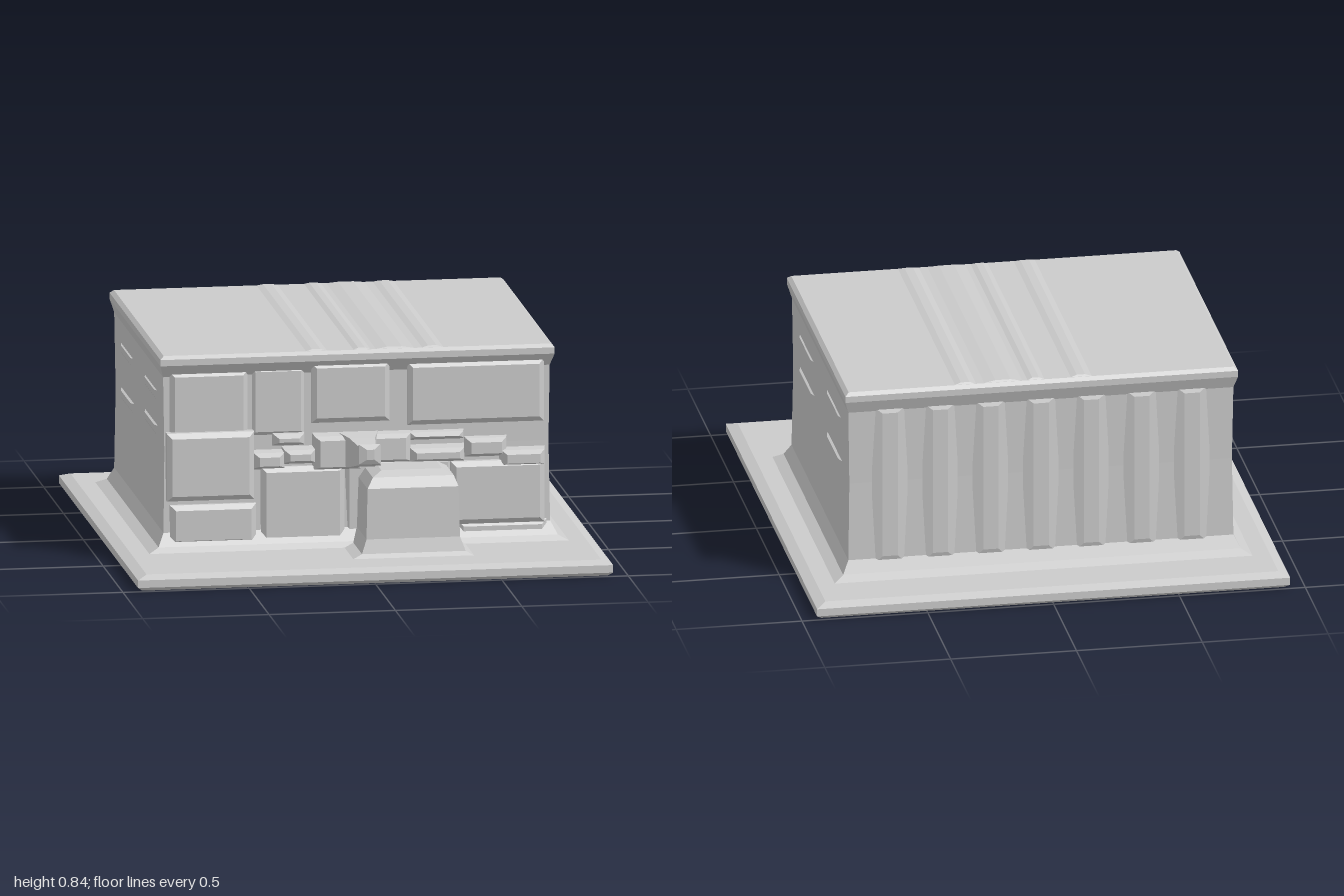
import * as THREE from 'three';

const material = new THREE.MeshStandardMaterial({ color: 0xcccccc, flatShading: true });

// Closed loft through horizontal rectangles [x0, x1, z0, z1, y], bottom to top
function loftGeometry(sections) {
  const points = [];
  const index = [];
  for (const [x0, x1, z0, z1, y] of sections) {
    points.push(x0, y, z1, x1, y, z1, x1, y, z0, x0, y, z0);
  }
  for (let s = 0; s < sections.length - 1; s++) {
    for (let i = 0; i < 4; i++) {
      const a = s * 4 + i, b = s * 4 + (i + 1) % 4;
      index.push(a, b, b + 4, a, b + 4, a + 4);
    }
  }
  const t = (sections.length - 1) * 4;
  index.push(0, 2, 1, 0, 3, 2, t, t + 1, t + 2, t, t + 2, t + 3);
  const geometry = new THREE.BufferGeometry();
  geometry.setAttribute('position', new THREE.Float32BufferAttribute(points, 3));
  geometry.setIndex(index);
  const flat = geometry.toNonIndexed();
  flat.computeVertexNormals();
  return flat;
}

function addMesh(parent, name, geometry) {
  const mesh = new THREE.Mesh(geometry, material);
  mesh.name = name;
  parent.add(mesh);
  return mesh;
}

// Loft running forward: sections [x0, x1, y0, y1, z], back to front
function forwardLoft(sections) {
  return loftGeometry(sections.map(([x0, x1, y0, y1, z]) => [x0, x1, -y1, -y0, z])).rotateX(Math.PI / 2);
}

// Wall panel with bevelled edges facing +z
function panel(x0, x1, y0, y1, z, bevel = 0.02) {
  return forwardLoft([
    [x0, x1, y0, y1, 0.49],
    [x0, x1, y0, y1, z - 0.015],
    [x0 + bevel, x1 - bevel, y0 + bevel, y1 - bevel, z],
  ]);
}

export function createModel() {
  const model = new THREE.Group();
  model.name = 'building';

  // Ground slab with chamfered rims
  addMesh(model, 'groundSlab', loftGeometry([
    [-0.92, 0.92, -0.98, 0.98, 0],
    [-0.94, 0.94, -1, 1, 0.015],
    [-0.94, 0.94, -1, 1, 0.045],
    [-0.9, 0.9, -0.96, 0.96, 0.06],
  ]));

  // Main block: flared foot, plain walls and overhanging eaves
  addMesh(model, 'mainBlock', loftGeometry([
    [-0.84, 0.84, -0.79, 0.59, 0.055],
    [-0.79, 0.79, -0.745, 0.56, 0.08],
    [-0.765, 0.765, -0.72, 0.525, 0.13],
    [-0.76, 0.76, -0.715, 0.515, 0.45],
    [-0.765, 0.765, -0.72, 0.515, 0.75],
    [-0.78, 0.78, -0.74, 0.545, 0.8],
    [-0.78, 0.78, -0.74, 0.545, 0.825],
    [-0.765, 0.765, -0.725, 0.53, 0.838],
  ]));

  // Shallow ridges running front to back over the roof
  const roof = new THREE.Group();
  roof.name = 'roofRidges';
  for (const [x, w] of [[-0.16, 0.05], [0.02, 0.04], [0.15, 0.09], [0.3, 0.05]]) {
    addMesh(roof, 'roofRidge', loftGeometry([
      [x - w, x + w, -0.725, 0.53, 0.836],
      [x - w / 3, x + w / 3, -0.715, 0.52, 0.844],
    ]));
  }
  model.add(roof);

  // Soft vertical ribs on the back wall
  const ribs = new THREE.Group();
  ribs.name = 'backRibs';
  for (let i = 0; i < 7; i++) {
    const rib = addMesh(ribs, 'backRib', forwardLoft([
      [-0.07, 0.07, 0.1, 0.77, 0],
      [-0.03, 0.03, 0.14, 0.74, 0.012],
    ]));
    rib.rotation.y = Math.PI;
    rib.position.set(-0.6 + i * 0.2, 0, -0.716);
  }
  model.add(ribs);

  // Faint panels and streaks on both side walls
  for (const side of [-1, 1]) {
    const group = new THREE.Group();
    group.name = side > 0 ? 'leftWallStreaks' : 'rightWallStreaks';
    for (const [z, y] of [[0.2, 0.64], [-0.4, 0.64], [0.2, 0.5], [-0.4, 0.46]]) {
      const streak = addMesh(group, 'wallStreak', forwardLoft([
        [-0.18, 0.18, -0.025, 0.025, -0.005],
        [-0.12, 0.12, -0.005, 0.02, 0.008],
      ]));
      streak.rotation.y = side * Math.PI / 2;
      streak.position.set(side * 0.762, y, z);
    }
    model.add(group);
  }

  // Front relief: upper bays, lower bays and piers
  const front = new THREE.Group();
  front.name = 'frontRelief';
  const panels = {
    upperRightBay: [-0.74, -0.43, 0.51, 0.77, 0.53],
    upperNarrowBay: [-0.42, -0.2, 0.5, 0.78, 0.525],
    upperMiddleBay: [-0.18, 0.13, 0.55, 0.79, 0.54],
    upperLeftBay: [0.2, 0.74, 0.53, 0.78, 0.54],
    projectingBox: [-0.755, -0.41, 0.26, 0.53, 0.565],
    lowerRightBay: [-0.74, -0.4, 0.08, 0.24, 0.55],
    lowerPier: [-0.38, -0.05, 0.07, 0.38, 0.545],
    doorRecess: [-0.05, 0.38, 0.07, 0.4, 0.53],
    lowerLeftBay: [0.37, 0.74, 0.13, 0.38, 0.555],
    lowerLeftFoot: [0.4, 0.75, 0.07, 0.14, 0.545],
  };
  for (const [name, values] of Object.entries(panels)) addMesh(front, name, panel(...values));

  // Uneven ledge between the storeys
  const ledge = [[-0.42, -0.28, 0.38, 0.44, 0.565], [-0.3, -0.16, 0.4, 0.45, 0.575],
    [-0.34, -0.2, 0.47, 0.51, 0.55], [-0.18, 0.02, 0.37, 0.5, 0.57],
    [0.04, 0.22, 0.39, 0.5, 0.56], [0.2, 0.43, 0.39, 0.44, 0.575],
    [0.2, 0.43, 0.475, 0.5, 0.55], [0.42, 0.6, 0.4, 0.47, 0.55], [0.56, 0.75, 0.36, 0.42, 0.565]];
  for (const [x0, x1, y0, y1, z] of ledge) {
    addMesh(front, 'ledgeStone', forwardLoft([
      [x0, x1, y0 - 0.02, y1 + 0.015, 0.49],
      [x0 + 0.01, x1 - 0.01, y0, y1, z - 0.02],
      [x0 + 0.03, x1 - 0.03, y0 + 0.01, y1 - 0.015, z],
    ]));
  }
  model.add(front);

  // Entrance block with a flared foot and rounded top
  addMesh(model, 'entranceBlock', loftGeometry([
    [-0.07, 0.43, 0.5, 0.81, 0.055],
    [-0.02, 0.39, 0.5, 0.785, 0.075],
    [0, 0.37, 0.52, 0.77, 0.13],
    [0.005, 0.365, 0.54, 0.765, 0.33],
    [0.03, 0.35, 0.55, 0.74, 0.37],
    [0.07, 0.31, 0.56, 0.7, 0.39],
  ]));

  // Bracket reaching out from the wall, ending in a faceted knob
  addMesh(model, 'bracket', forwardLoft([
    [-0.08, 0.09, 0.37, 0.51, 0.5],
    [-0.04, 0.06, 0.385, 0.5, 0.6],
    [-0.02, 0.05, 0.41, 0.485, 0.69],
    [-0.03, 0.06, 0.42, 0.5, 0.75],
    [-0.03, 0.055, 0.43, 0.51, 0.77],
    [0, 0.03, 0.45, 0.49, 0.78],
  ]));

  return model;
}
